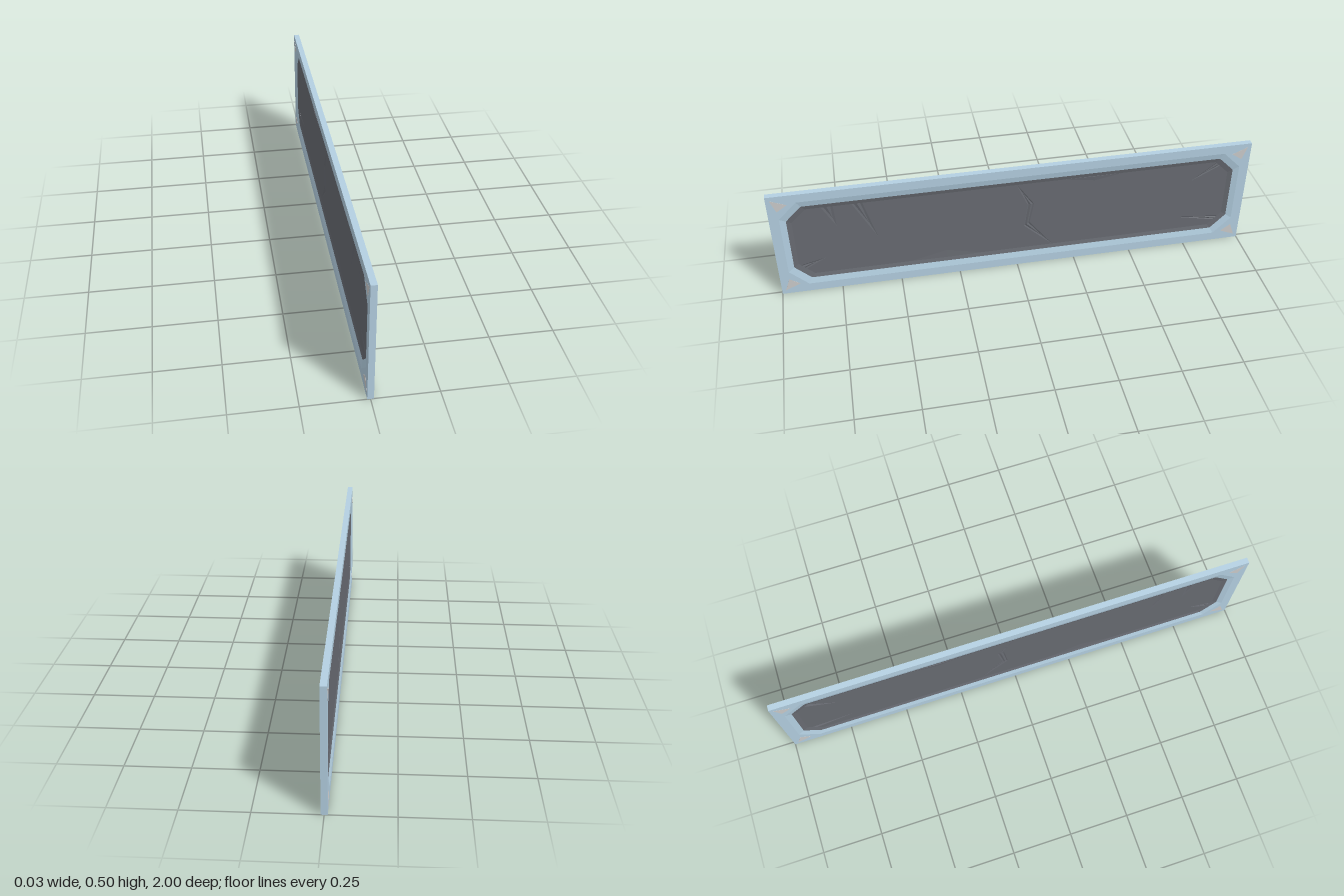
import * as THREE from 'three';

// Local layout: X along the plank, Y up, Z outward; the group is turned to face +x at the end.
const RIM = 0.012, STUD = 0.0125, LIP = 0.006, FLOOR = 0.002, DEEP = -0.003;
const MID = 0.25;

// Chamfered rectangle, counter-clockwise from the lower left
const octagon = (w, h, c) => [
  [-w + c, -h], [w - c, -h], [w, -h + c], [w, h - c],
  [w - c, h], [-w + c, h], [-w, h - c], [-w, -h + c],
].map(([x, y]) => [x, y + MID]);

const v2 = (list) => list.map(([x, y]) => new THREE.Vector2(x, y));

// Collects triangles and their mirror images on the other side of the plank
class Surface {
  constructor() { this.p = []; }
  tri(a, b, c) {
    this.p.push(...a, ...b, ...c);
    for (const q of [a, c, b]) this.p.push(q[0], q[1], -q[2]);
  }
  quad(a, b, c, d) { this.tri(a, b, c); this.tri(a, c, d); }
  flat(outline, holes, z) {
    const all = [...outline, ...holes.flat()].map(([x, y]) => [x, y, z]);
    for (const f of THREE.ShapeUtils.triangulateShape(v2(outline), holes.map(v2)))
      this.tri(all[f[0]], all[f[1]], all[f[2]]);
  }
  // Sloped band between two matching loops, outer to inner
  band(outer, zo, inner, zi) {
    outer.forEach((o, i) => {
      const j = (i + 1) % outer.length;
      this.quad([...o, zo], [...outer[j], zo], [...inner[j], zi], [...inner[i], zi]);
    });
  }
  mesh(name, color) {
    const g = new THREE.BufferGeometry();
    g.setAttribute('position', new THREE.Float32BufferAttribute(this.p, 3));
    g.computeVertexNormals();
    const m = new THREE.Mesh(g, new THREE.MeshStandardMaterial({
      color, flatShading: true, side: THREE.DoubleSide }));
    m.name = name;
    return m;
  }
}

export function createModel() {
  const group = new THREE.Group();
  group.name = 'framedPanel';
  const rect = [[-1, 0], [1, 0], [1, 0.5], [-1, 0.5]];
  const bevelOuter = octagon(0.96, 0.212, 0.075);
  const bevelInner = octagon(0.935, 0.185, 0.065);
  const panelEdge = octagon(0.915, 0.167, 0.06);

  // Frame: outer walls, flat rim and inward slope
  const frame = new Surface();
  rect.forEach((a, i) => {
    const b = rect[(i + 1) % 4];
    frame.quad([...a, 0], [...b, 0], [...b, RIM], [...a, RIM]);
  });
  frame.flat(rect, [[...bevelOuter].reverse()], RIM);
  frame.band(bevelOuter, RIM, bevelInner, LIP);
  group.add(frame.mesh('frame', 0xb4d0e2));

  // Panel: bevelled lip around a sunken floor
  const panel = new Surface();
  panel.band(bevelInner, LIP, panelEdge, FLOOR);

  // Edge notches: edge index, mouth as fractions along the edge, tip, depth at mouth
  const along = (i, t) => {
    const a = panelEdge[i], b = panelEdge[(i + 1) % 8];
    return [a[0] + (b[0] - a[0]) * t, a[1] + (b[1] - a[1]) * t];
  };
  const notches = [
    [0, 0.235, 0.41, [-0.3, 0.12], 0.0045],
    [1, 0.4, 0.72, [0.71, 0.145], DEEP],
    [3, 0.65, 0.95, [0.75, 0.33], DEEP],
    [4, 0.235, 0.385, [0.33, 0.395], 0.0045],
    [4, 0.868, 0.893, [-0.58, 0.235], DEEP],
    [4, 0.936, 0.964, [-0.74, 0.315], DEEP],
    [7, 0.15, 0.5, [-0.8, 0.16], DEEP],
  ];
  const outline = [];
  panelEdge.forEach((p, i) => {
    outline.push(p);
    for (const [edge, s, e, tip, z] of notches) {
      if (edge !== i) continue;
      const a = along(i, s), b = along(i, e);
      outline.push(a, tip, b);
      const A = [...a, FLOOR], B = [...b, FLOOR], T = [...tip, FLOOR];
      const M = [...along(i, (s + e) / 2), z];
      panel.tri(A, M, T);
      panel.tri(M, B, T);
      panel.tri(A, B, M);
    }
  });

  // Crooked crack across the middle, a V-groove between two edges
  const left = [[0, 0.414], [0.045, 0.31], [0.03, 0.2], [0.148, 0.086]];
  const right = [[0.006, 0.414], [0.073, 0.31], [0.055, 0.215], [0.153, 0.086]];
  const at = (p, z) => [...p, z];
  const bed = left.map((p, i) => [
    (p[0] + right[i][0]) / 2, (p[1] + right[i][1]) / 2, i % 3 ? DEEP : FLOOR]);
  for (let i = 0; i < 3; i++) {
    panel.quad(at(left[i], FLOOR), at(left[i + 1], FLOOR), bed[i + 1], bed[i]);
    panel.quad(bed[i], bed[i + 1], at(right[i + 1], FLOOR), at(right[i], FLOOR));
  }
  panel.flat(outline, [[...left, ...[...right].reverse()].reverse()], FLOOR);
  group.add(panel.mesh('panel', 0x686b72));

  // Triangular corner studs on both faces
  const studs = new Surface();
  for (const sx of [1, -1]) for (const sy of [1, -1]) {
    let t = [[0.985, 0.233], [0.92, 0.205], [0.963, 0.175]]
      .map(([x, y]) => [sx * x, MID + sy * y]);
    if (sx * sy < 0) t.reverse();
    studs.flat(t, [], STUD);
    t.forEach((a, i) => {
      const b = t[(i + 1) % 3];
      studs.quad(at(a, RIM), at(b, RIM), at(b, STUD), at(a, STUD));
    });
  }
  group.add(studs.mesh('cornerStuds', 0xcccccc));

  group.rotation.y = Math.PI / 2;
  const model = new THREE.Group();
  model.add(group);
  return model;
}
